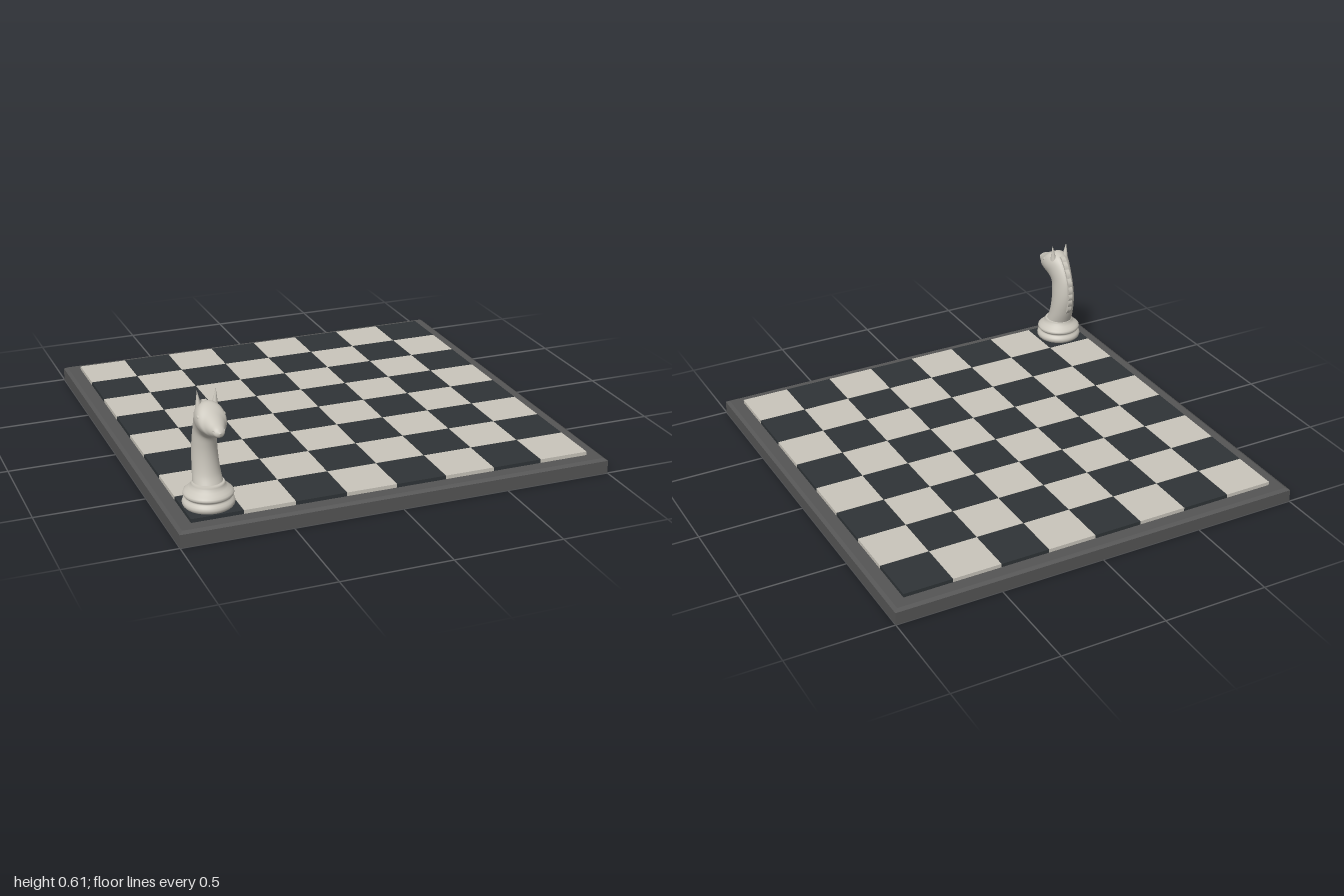
import * as THREE from 'three';

const mat = (color, extra = {}) => new THREE.MeshStandardMaterial({ color, ...extra });
const v2 = (pts) => pts.map(([x, y]) => new THREE.Vector2(x, y));

function add(parent, name, geometry, material) {
  const mesh = new THREE.Mesh(geometry, material);
  mesh.name = name;
  parent.add(mesh);
  return mesh;
}

// Neck and head sections: back z, back y, front z, front y, half width
const SECTIONS = [
  [0.747, 0.185, 0.876, 0.185, 0.066],
  [0.725, 0.245, 0.856, 0.230, 0.060],
  [0.708, 0.315, 0.845, 0.300, 0.055],
  [0.705, 0.370, 0.848, 0.362, 0.051],
  [0.716, 0.435, 0.862, 0.405, 0.048],
  [0.750, 0.500, 0.887, 0.422, 0.054],
  [0.792, 0.545, 0.915, 0.434, 0.063],
  [0.845, 0.563, 0.940, 0.442, 0.061],
  [0.900, 0.537, 0.957, 0.447, 0.045],
  [0.950, 0.513, 0.978, 0.455, 0.031],
  [0.982, 0.498, 0.992, 0.462, 0.021],
  [0.999, 0.480, 0.999, 0.479, 0.001],
];
const backCurve = new THREE.CatmullRomCurve3(SECTIONS.map((s) => new THREE.Vector3(s[4], s[1], s[0])));
const frontCurve = new THREE.CatmullRomCurve3(SECTIONS.map((s) => new THREE.Vector3(s[4], s[3], s[2])));

// Elliptical rings lofted between the back and front curves
function neckAndHead(rings = 66, sides = 32) {
  const pos = [], index = [];
  for (let i = 0; i <= rings; i++) {
    const b = backCurve.getPoint(i / rings), f = frontCurve.getPoint(i / rings);
    for (let j = 0; j < sides; j++) {
      const a = (j / sides) * Math.PI * 2, k = (1 + Math.cos(a)) / 2;
      pos.push(b.x * Math.sin(a), b.y + (f.y - b.y) * k, b.z + (f.z - b.z) * k);
      if (i === rings) continue;
      const p = i * sides + j, q = i * sides + ((j + 1) % sides);
      index.push(p, q, q + sides, p, q + sides, p + sides);
    }
  }
  const g = new THREE.BufferGeometry();
  g.setAttribute('position', new THREE.Float32BufferAttribute(pos, 3));
  g.setIndex(index);
  g.computeVertexNormals();
  return g;
}

// Thin scalloped crest following the back of the neck
function mane() {
  const inner = [], outer = [], n = 64, width = 0.022;
  for (let i = 0; i <= n; i++) {
    const t = 0.1 + 0.46 * (i / n);
    const b = backCurve.getPoint(t), f = frontCurve.getPoint(t);
    const dir = new THREE.Vector2(b.z - f.z, b.y - f.y).normalize();
    const p = new THREE.Vector2(b.z, b.y);
    const out = 0.007 * Math.min(1, i / 4, (n - i) / 4) + 0.004 * Math.abs(Math.sin((i / n) * Math.PI * 8));
    inner.push(p.clone().addScaledVector(dir, -0.012));
    outer.push(p.clone().addScaledVector(dir, out));
  }
  const g = new THREE.ExtrudeGeometry(new THREE.Shape([...inner, ...outer.reverse()]), { depth: width, bevelEnabled: false });
  g.translate(0, 0, -width / 2);
  return g.rotateY(-Math.PI / 2);
}

function createKnight(material) {
  const knight = new THREE.Group();
  knight.name = 'knight';
  knight.position.x = -0.815;

  // Turned foot with two rings
  const profile = [
    [0, 0.086], [0.104, 0.086], [0.111, 0.094], [0.113, 0.104], [0.110, 0.114], [0.102, 0.122],
    [0.098, 0.126], [0.098, 0.132], [0.106, 0.136], [0.109, 0.143], [0.107, 0.151],
    [0.098, 0.159], [0.082, 0.170], [0.072, 0.180], [0.073, 0.187], [0.068, 0.194], [0, 0.196],
  ];
  add(knight, 'foot', new THREE.LatheGeometry(v2(profile), 48), material).position.z = 0.815;
  add(knight, 'neckAndHead', neckAndHead(), material);
  add(knight, 'mane', mane(), material);

  for (const [side, s] of [['left', 1], ['right', -1]]) {
    const ear = add(knight, side + 'Ear', new THREE.ConeGeometry(0.021, 0.09, 16), material);
    ear.position.set(s * 0.037, 0.563, 0.822);
    ear.rotation.z = -s * 0.08;
    ear.scale.x = 0.85;

    const eye = add(knight, side + 'Eye', new THREE.SphereGeometry(0.012, 16, 10), material);
    eye.position.set(s * 0.054, 0.515, 0.878);
    eye.scale.set(0.7, 0.7, 1.1);

    const nostril = add(knight, side + 'Nostril', new THREE.TorusGeometry(0.005, 0.002, 8, 14), material);
    nostril.position.set(s * 0.023, 0.484, 0.979);
    nostril.rotation.y = s * 1.1;
  }
  return knight;
}

export function createModel() {
  const model = new THREE.Group();
  model.name = 'chessboard';
  const light = mat(0xc9c5bb), dark = mat(0x2f3437), frame = mat(0x555555, { flatShading: true });

  // Square board with a chamfered top edge
  const edge = [[0, 0], [1, 0], [1, 0.06], [0.984, 0.07], [0, 0.07]].map(([r, y]) => [r * Math.SQRT2, y]);
  add(model, 'board', new THREE.LatheGeometry(v2(edge), 4).rotateY(Math.PI / 4), frame);

  // Eight by eight raised squares
  const squares = new THREE.Group();
  squares.name = 'squares';
  model.add(squares);
  const pitch = 0.2325;
  const tile = new THREE.BoxGeometry(0.231, 0.022, 0.231);
  for (let row = 0; row < 8; row++) {
    for (let col = 0; col < 8; col++) {
      const isDark = (row + col) % 2 === 1;
      const square = add(squares, isDark ? 'darkSquare' : 'lightSquare', tile, isDark ? dark : light);
      square.position.set((col - 3.5) * pitch, 0.076, (row - 3.5) * pitch);
    }
  }

  model.add(createKnight(light));
  return model;
}
